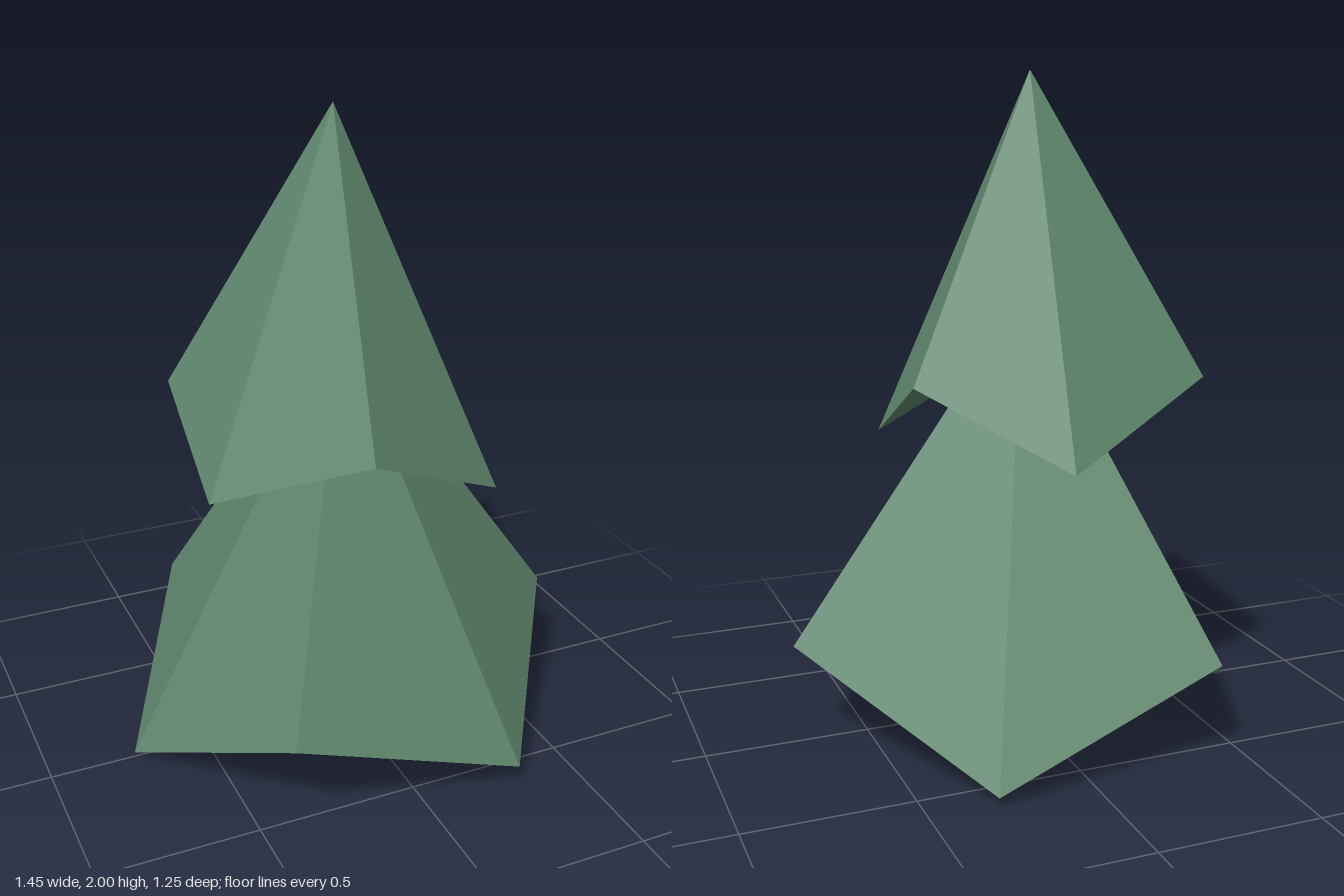
import * as THREE from 'three';

const foliage = new THREE.MeshStandardMaterial({ color: 0x5f876d });
foliage.name = 'foliage green';

// One six-sided tier: faceted cone above, raised hollow fan below a zigzag rim
function tier(name, peak, hollow, rim) {
  const positions = [];
  rim.forEach((corner, i) => {
    const next = rim[(i + 1) % rim.length];
    positions.push(...peak, ...next, ...corner);
    positions.push(...hollow, ...corner, ...next);
  });
  const geometry = new THREE.BufferGeometry();
  geometry.setAttribute('position', new THREE.Float32BufferAttribute(positions, 3));
  geometry.computeVertexNormals(); // unshared corners give flat facets
  const mesh = new THREE.Mesh(geometry, foliage);
  mesh.name = name;
  return mesh;
}

export function createModel() {
  const tree = new THREE.Group();
  tree.name = 'tree';

  // Rim corners run from the back round by +x, the front and -x
  tree.add(tier('lowerBranches', [-0.016, 1.34, -0.005], [-0.02, 0.43, -0.01], [
    [0.3, 0.03, -0.625],
    [0.725, 0.31, -0.008],
    [0.3, 0.07, 0.625],
    [-0.42, 0.31, 0.595],
    [-0.727, 0, -0.02],
    [-0.397, 0.31, -0.615],
  ]));

  tree.add(tier('upperBranches', [-0.03, 2, -0.027], [-0.035, 1.2, 0], [
    [0.018, 0.89, -0.495],
    [0.394, 1.11, -0.19],
    [0.353, 0.87, 0.32],
    [-0.143, 1.11, 0.518],
    [-0.504, 0.91, 0.155],
    [-0.46, 1.11, -0.34],
  ]));

  return tree;
}
